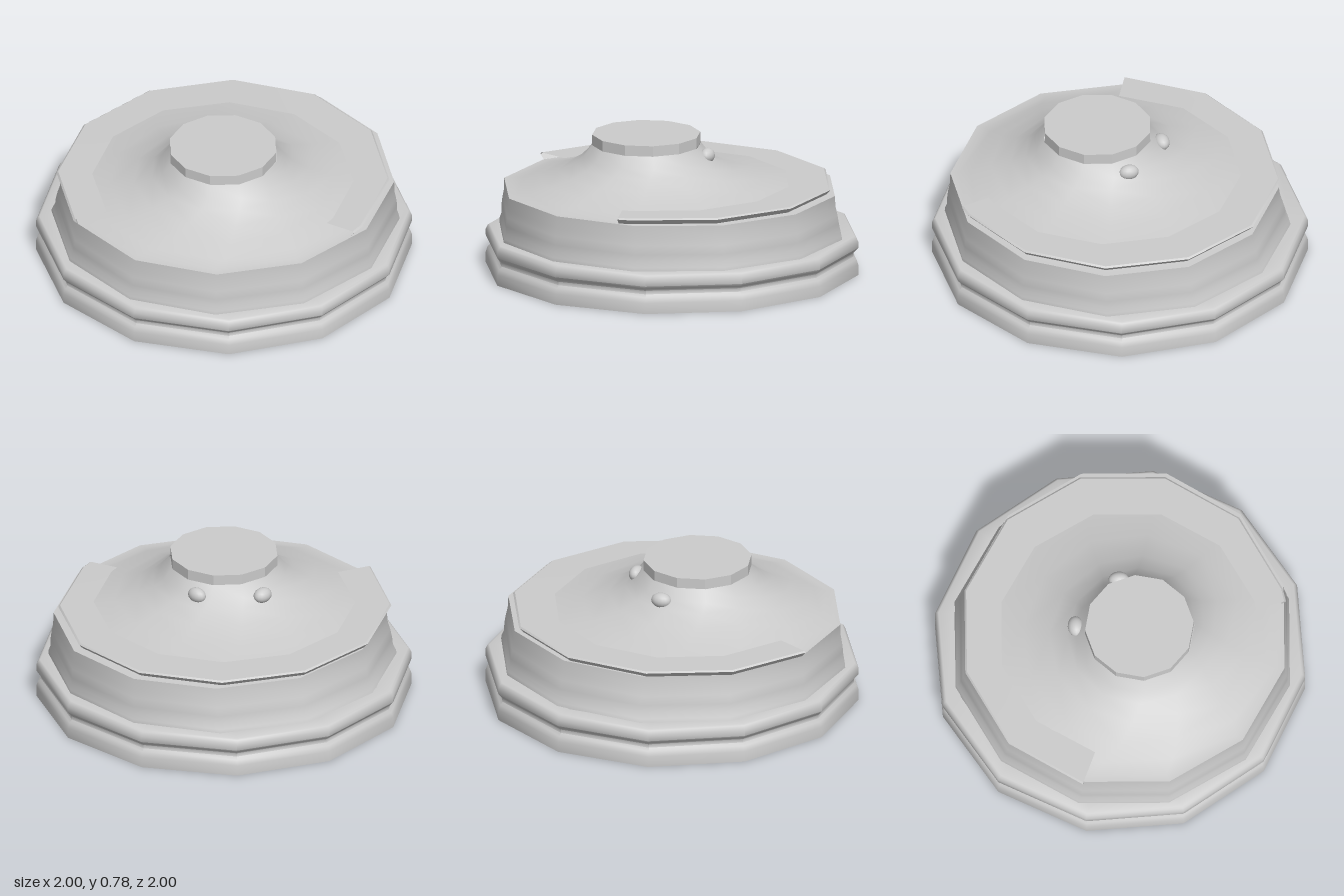
import * as THREE from 'three';
import { toCreasedNormals } from 'three/addons/utils/BufferGeometryUtils.js';

const material = new THREE.MeshStandardMaterial({ color: 0xcccccc, side: THREE.DoubleSide });
const SIDES = 12;
const rad = THREE.MathUtils.degToRad;
const turn = Array.from({ length: SIDES + 1 }, (_, i) => i * 30);

// Skin rings from bottom to top. Ring: [radius, y, centre x, centre z, rotation, depth scale]
function loft(name, rings, crease, angles = turn) {
  const closed = angles === turn;
  const n = closed ? SIDES : angles.length;
  const pos = [], index = [];
  for (const [r, y, cx = 0, cz = 0, rot = 0, depth = 1] of rings) {
    for (let j = 0; j < n; j++) {
      const a = rad(angles[j] + rot);
      pos.push(cx + r * Math.cos(a), y, cz + r * depth * Math.sin(a));
    }
  }
  for (let i = 0; i < rings.length - 1; i++) {
    for (let j = 0; j < (closed ? n : n - 1); j++) {
      const a = i * n + j, b = i * n + (j + 1) % n;
      index.push(a, a + n, b + n, a, b + n, b);
    }
  }
  const geo = new THREE.BufferGeometry();
  geo.setAttribute('position', new THREE.Float32BufferAttribute(pos, 3));
  geo.setIndex(index);
  const mesh = new THREE.Mesh(toCreasedNormals(geo, crease), material);
  mesh.name = name;
  return mesh;
}

export function createModel() {
  const group = new THREE.Group();

  // Twelve-sided base: flat underside, foot, groove and upper bead
  const k = 1 / Math.cos(Math.PI / SIDES);
  const base = [
    [0.001, 0], [1, 0], [1, 0.06], [0.99, 0.09], [0.975, 0.105], [0.975, 0.125],
    [0.985, 0.138], [1, 0.155], [1, 0.19], [0.99, 0.213], [0.98, 0.22], [0.9, 0.22],
  ].map(([r, y]) => [r * k, y, 0, 0, 15]);
  group.add(loft('base', base, 0.8));

  // Slightly turned, tapering drum
  const drum = [
    [0.968, 0.215], [0.965, 0.24], [0.953, 0.27], [0.953, 0.31],
    [0.946, 0.36], [0.937, 0.40], [0.934, 0.47],
  ].map(([r, y], i) => [r, y, -0.002, 0.012 + i * 0.003, 19.3, 0.985 - i * 0.003]);
  group.add(loft('drum', drum, 0.8));

  // Off-centre flared mound, rising from the drum rim to the neck
  group.add(loft('mound', [
    [0.934, 0.47, -0.002, 0.03, 19.3, 0.967],
    [0.89, 0.472, -0.01, 0.02, 19.3, 0.967],
    [0.77, 0.492, -0.05, 0.04, 16],
    [0.62, 0.525, -0.1, 0.07, 12],
    [0.49, 0.567, -0.11, 0.09, 8],
    [0.40, 0.617, -0.11, 0.1, 4],
    [0.35, 0.66, -0.11, 0.1],
    [0.302, 0.722, -0.11, 0.1],
  ], 0.8));

  // Raised lip around the left and back of the mound
  const arc = [...Array.from({ length: 9 }, (_, i) => -160.7 + i * 30), 84];
  group.add(loft('lip', [
    [0.905, 0.47, -0.03, 0.02, 0, 0.975],
    [0.93, 0.498, -0.03, 0.02, 0, 0.975],
    [0.92, 0.506, -0.03, 0.02, 0, 0.975],
    [0.72, 0.508, -0.05, 0.04],
  ], 0.5, arc));

  // Faceted neck with a flat top
  const neck = new THREE.Mesh(
    toCreasedNormals(new THREE.CylinderGeometry(0.3, 0.3, 0.06, SIDES), 0.3), material);
  neck.name = 'neck';
  neck.position.set(-0.112, 0.75, 0.098);
  group.add(neck);

  // Two small knobs set into the slope
  for (const [x, y, z, sx, sy, sz] of [
    [0.215, 0.665, 0.01, 0.04, 0.042, 0.056],
    [-0.038, 0.653, -0.248, 0.058, 0.042, 0.044],
  ]) {
    const knob = new THREE.Mesh(new THREE.SphereGeometry(1, 16, 10), material);
    knob.name = 'knob';
    knob.position.set(x, y, z);
    knob.scale.set(sx, sy, sz);
    group.add(knob);
  }
  return group;
}
